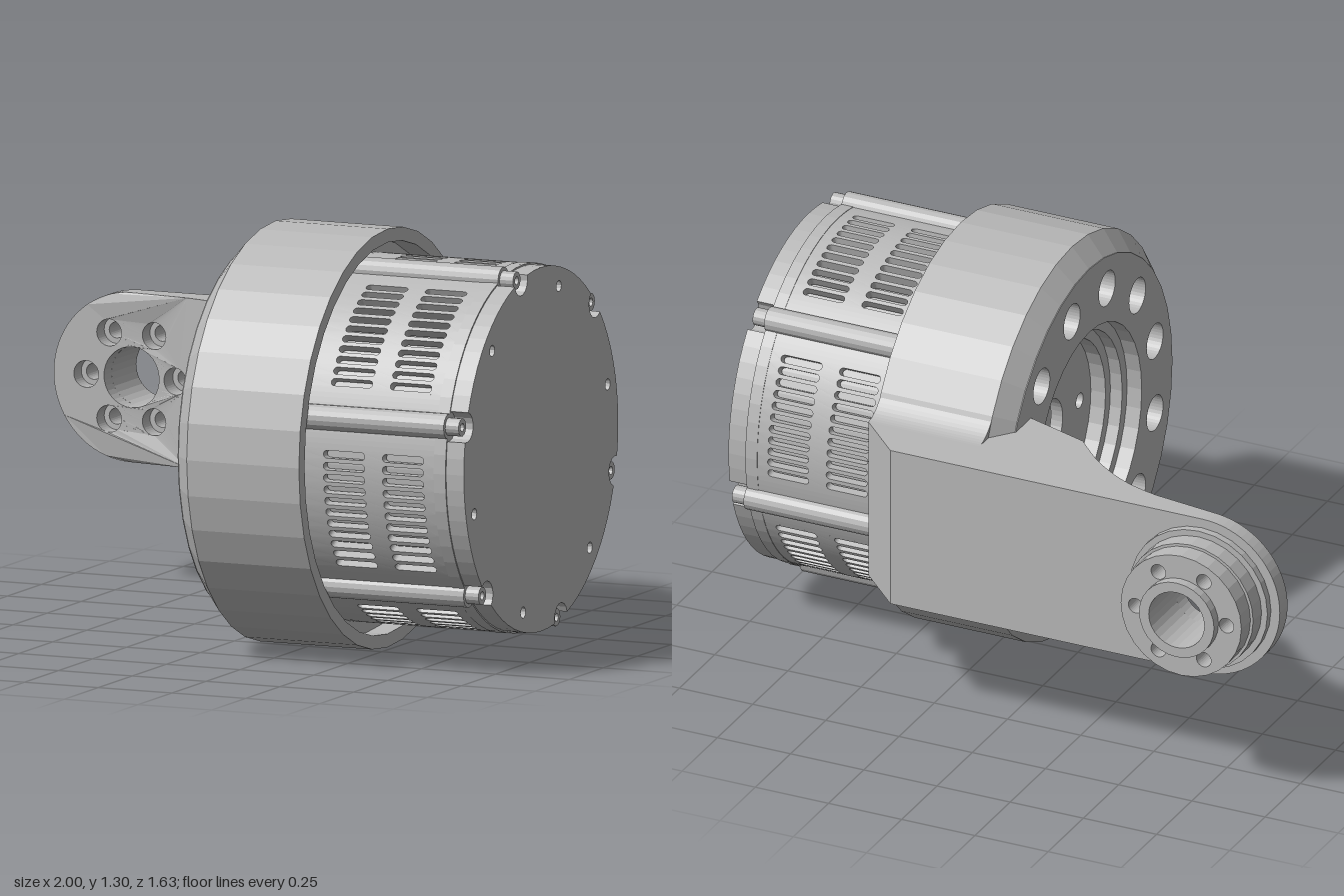
import * as THREE from 'three';
import { mergeGeometries } from 'three/addons/utils/BufferGeometryUtils.js';

const RAD = Math.PI / 180;
const CY = 0.655, CZ = 0.165; // drive axis, parallel to x
const TIP_X = -0.73;          // joint axis at the arm tip, parallel to z

function circle(x, y, r) {
  return new THREE.Path().absarc(x, y, r, 0, Math.PI * 2, true);
}

// Disc with an optional bore and a ring of holes
function disc(r, bore = 0, count = 0, ring = 0, holeR = 0, start = 0) {
  const s = new THREE.Shape().absarc(0, 0, r, 0, Math.PI * 2, false);
  if (bore) s.holes.push(circle(0, 0, bore));
  for (let i = 0; i < count; i++) {
    const a = (start + i * 360 / count) * RAD;
    s.holes.push(circle(ring * Math.cos(a), ring * Math.sin(a), holeR));
  }
  return s;
}

// Extrude a shape drawn in (-z, y) from x0 to x1
function alongX(shape, x0, x1, seg = 10) {
  return new THREE.ExtrudeGeometry(shape, { depth: x1 - x0, bevelEnabled: false, curveSegments: seg })
    .rotateY(Math.PI / 2).translate(x0, 0, 0);
}

export function createModel() {
  const metal = new THREE.MeshStandardMaterial({ color: 0xb8b8b8, flatShading: true, side: THREE.DoubleSide });
  metal.name = 'greyMetal';
  const model = new THREE.Group();
  const drive = new THREE.Group();
  drive.name = 'drive';
  drive.position.set(0, CY, CZ);
  model.add(drive);
  const add = (parent, name, geo) => {
    const m = new THREE.Mesh(geo, metal);
    m.name = name;
    parent.add(m);
    return m;
  };
  const lathe = (pts, seg) => new THREE.LatheGeometry(pts.map(p => new THREE.Vector2(p[0], p[1])), seg).rotateZ(-Math.PI / 2);

  // Housing ring with chamfered rear rim and a recess around the motor
  add(drive, 'housing', lathe([[0.585, 0.04], [0.652, 0.1], [0.652, 0.48], [0.61, 0.48], [0.61, 0.41], [0.5, 0.41]], 36));
  add(drive, 'rearFace', alongX(disc(0.588, 0.37, 12, 0.48, 0.058, 15), 0.04, 0.18, 18));
  // Stepped bore and its floor
  add(drive, 'boreStep', alongX(disc(0.38, 0.335), 0.09, 0.18, 18));
  add(drive, 'boreLip', alongX(disc(0.345, 0.3), 0.13, 0.2, 18));
  add(drive, 'boreFloor', alongX(disc(0.6, 0.1, 6, 0.22, 0.025), 0.18, 0.22, 18));
  add(drive, 'boreBack', alongX(disc(0.6), 0.24, 0.26, 18));

  // Motor shell: one strip with two slots, bent round the axis and repeated
  const X0 = 0.41, X1 = 0.9, R = 0.57, WALL = 0.03;
  const pitch = 41 / 11 * RAD, half = pitch * R / 2, slotR = 0.012;
  const strip = new THREE.Shape([[-half, X0], [half, X0], [half, X1], [-half, X1]].map(p => new THREE.Vector2(...p)));
  for (const [a, b] of [[0.525, 0.665], [0.725, 0.865]]) {
    const slot = new THREE.Path();
    slot.absarc(0, a + slotR, slotR, Math.PI, Math.PI * 2, false);
    slot.absarc(0, b - slotR, slotR, 0, Math.PI, false);
    slot.closePath();
    strip.holes.push(slot);
  }
  const stripGeo = new THREE.ExtrudeGeometry(strip, { depth: WALL, bevelEnabled: false, curveSegments: 5 });
  const p = stripGeo.attributes.position;
  for (let i = 0; i < p.count; i++) {
    const a = p.getX(i) / R, r = R - WALL + p.getZ(i);
    p.setXYZ(i, p.getY(i), r * Math.cos(a), r * Math.sin(a));
  }
  stripGeo.computeVertexNormals();
  const strips = [];
  for (let i = 0; i < 11; i++) strips.push(stripGeo.clone().rotateX((i - 5) * pitch));
  const panel = mergeGeometries(strips);

  // Plain wall section behind each bolt column
  const wall = new THREE.Shape();
  wall.absarc(0, 0, R, 80.4 * RAD, 99.6 * RAD, false);
  wall.absarc(0, 0, R - WALL, 99.6 * RAD, 80.4 * RAD, true);
  wall.closePath();
  const wallGeo = alongX(wall, X0, X1, 6);
  const columnGeo = alongX(disc(0.04), X0, 0.94, 8).translate(0, 0.565, 0);
  const screwGeo = alongX(disc(0.028, 0.013), 0.93, 0.985, 8).translate(0, 0.565, 0);
  for (let k = 0; k < 6; k++) {
    add(drive, 'ventPanel', panel).rotation.x = (45 + 60 * k) * RAD;
    const bolt = new THREE.Group();
    bolt.name = 'boltColumn';
    bolt.rotation.x = (15 + 60 * k) * RAD;
    add(bolt, 'columnWall', wallGeo);
    add(bolt, 'columnRidge', columnGeo);
    add(bolt, 'screw', screwGeo);
    drive.add(bolt);
  }
  add(drive, 'motorCore', alongX(disc(0.535), 0.3, 0.9, 24));
  add(drive, 'capFlange', alongX(disc(0.572), 0.9, 0.94, 30));

  // End cap with a scalloped notch at every screw
  const capPts = [];
  for (let k = 0; k < 6; k++) {
    const phi = 105 + 60 * k;
    const cx = 0.565 * Math.cos(phi * RAD), cy = 0.565 * Math.sin(phi * RAD);
    for (let t = 0; t <= 8; t++) {
      const a = (phi - 90 - t * 22.5) * RAD;
      capPts.push(new THREE.Vector2(cx + 0.047 * Math.cos(a), cy + 0.047 * Math.sin(a)));
    }
    for (let t = 0; t <= 10; t++) {
      const a = (phi + 5 + t * 5) * RAD;
      capPts.push(new THREE.Vector2(0.567 * Math.cos(a), 0.567 * Math.sin(a)));
    }
  }
  const cap = new THREE.Shape(capPts);
  for (let k = 0; k < 6; k++) {
    const a = (75 + 60 * k) * RAD;
    cap.holes.push(circle(0.507 * Math.cos(a), 0.507 * Math.sin(a), 0.018));
  }
  add(drive, 'endCap', alongX(cap, 0.94, 1.0, 6));

  // Filleted saddle joining housing and arm
  const saddle = new THREE.Shape();
  const edge = Math.asin(0.335 / 0.645);
  saddle.absarc(0, 0, 0.645, -edge, edge, false);
  saddle.quadraticCurveTo(0.605, 0.265, 0.655, 0.265);
  saddle.lineTo(0.655, -0.265);
  saddle.quadraticCurveTo(0.605, -0.265, 0.645 * Math.cos(edge), -0.335);
  add(drive, 'saddle', alongX(saddle, 0.1, 0.48, 10));

  // Arm: plan profile (x, -z) extruded upwards
  const arm = new THREE.Shape();
  arm.moveTo(-0.53, 0.635);
  arm.lineTo(-0.53, 0.55);
  arm.splineThru([[-0.45, 0.527], [-0.37, 0.49], [-0.27, 0.42], [-0.17, 0.32]].map(q => new THREE.Vector2(...q)));
  for (const q of [[0.04, 0.25], [0.16, 0.25], [0.16, 0.46], [0.48, 0.46], [0.48, 0.49], [0.335, 0.635]]) arm.lineTo(...q);
  add(model, 'arm', new THREE.ExtrudeGeometry(arm, { depth: 0.53, bevelEnabled: false, curveSegments: 3 })
    .rotateX(-Math.PI / 2).translate(0, 0.39, 0));

  // Rounded arm tip with countersunk holes
  const tip = new THREE.Shape();
  tip.moveTo(0.2, 0.265);
  tip.lineTo(0, 0.265);
  tip.absarc(0, 0, 0.265, Math.PI / 2, Math.PI * 1.5, false);
  tip.lineTo(0.2, -0.265);
  tip.closePath();
  tip.holes = disc(1, 0.095, 6, 0.155, 0.042).holes;
  const tipGeo = new THREE.ExtrudeGeometry(tip, { depth: 0.055, bevelEnabled: false, curveSegments: 18 });
  const tp = tipGeo.attributes.position;
  for (let i = 0; i < tp.count; i++) {
    const x = tp.getX(i);
    if (x > 0 && tp.getZ(i) > 0.01) tp.setZ(i, 0.055 + 0.03 * (x / 0.2) ** 2);
  }
  const joint = new THREE.Group();
  joint.name = 'tipJoint';
  joint.position.set(TIP_X, CY, -0.635);
  model.add(joint);
  add(joint, 'armTip', tipGeo);

  // Stepped output boss behind the tip: radius, near z, far z, screw holes
  for (const [name, r, z0, z1, holes] of [
    ['bossFlange', 0.235, 0, 0.025, 6], ['bossBody', 0.215, 0.025, 0.085, 6],
    ['bossFace', 0.206, 0.085, 0.15, 6], ['bossTube', 0.128, 0.15, 0.182, 0]]) {
    add(joint, name, new THREE.ExtrudeGeometry(disc(r, 0.095, holes, 0.155, 0.025),
      { depth: z1 - z0, bevelEnabled: false, curveSegments: 14 }).translate(0, 0, -z1));
  }
  return model;
}
